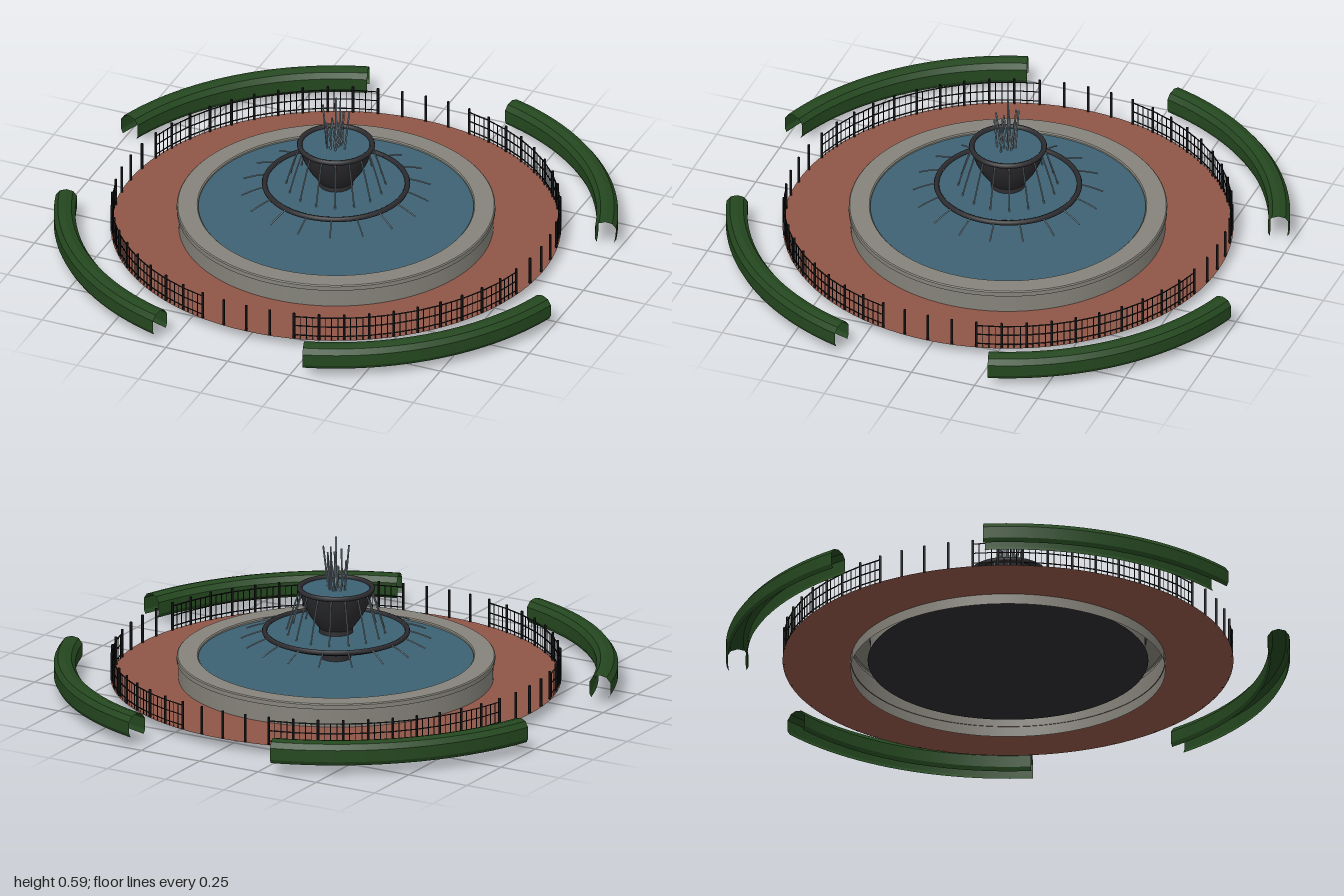
import * as THREE from 'three';
import { mergeGeometries } from 'three/addons/utils/BufferGeometryUtils.js';

const mat = (color) => new THREE.MeshStandardMaterial({ color, side: THREE.DoubleSide });
const rad = THREE.MathUtils.degToRad;
const polar = (r, a, y) => new THREE.Vector3(r * Math.sin(a), y, r * Math.cos(a));

export function createModel() {
  const model = new THREE.Group();
  const stone = mat(0x85837a), metal = mat(0x2c2c30), iron = mat(0x141416);
  const brick = mat(0x8f5547), leaf = mat(0x24471f), water = mat(0x3d6274), spray = mat(0x7f8f99);

  const add = (name, geometry, material, y = 0) => {
    const mesh = new THREE.Mesh(geometry, material);
    mesh.name = name;
    mesh.position.y = y;
    model.add(mesh);
    return mesh;
  };

  // Turned part; each profile step gets its own rings so edges stay crisp
  const turned = (points, segments = 64, start = 0, length = Math.PI * 2) => {
    const parts = [];
    for (let i = 0; i < points.length - 1; i++) {
      const pair = [points[i], points[i + 1]].map(([r, y]) => new THREE.Vector2(r, y));
      parts.push(new THREE.LatheGeometry(pair, segments, start, length));
    }
    return mergeGeometries(parts);
  };
  const smoothTurned = (points) =>
    new THREE.LatheGeometry(points.map(([r, y]) => new THREE.Vector2(r, y)), 48);
  const disc = (r) => new THREE.CircleGeometry(r, 64).rotateX(-Math.PI / 2);
  const hoop = (r, tube, segments = 64) =>
    new THREE.TorusGeometry(r, tube, 8, segments).rotateX(Math.PI / 2);

  // Thin straight rod between two points
  const rod = (a, b, r, sides = 5) => {
    const dir = b.clone().sub(a);
    const g = new THREE.CylinderGeometry(r, r, dir.length(), sides);
    g.applyQuaternion(new THREE.Quaternion().setFromUnitVectors(
      new THREE.Vector3(0, 1, 0), dir.normalize()));
    return g.translate((a.x + b.x) / 2, (a.y + b.y) / 2, (a.z + b.z) / 2);
  };
  // Falling stream that arcs outwards
  const stream = (a, r0, y0, r1, y1, lift) => new THREE.TubeGeometry(
    new THREE.QuadraticBezierCurve3(
      polar(r0, a, y0), polar((r0 + r1) / 2, a, (y0 + y1) / 2 + lift), polar(r1, a, y1)),
    6, 0.003, 5);

  // Paving
  add('paving', new THREE.RingGeometry(0.58, 0.835, 96).rotateX(-Math.PI / 2), brick, 0.04);

  // Basin with coping, floor and water
  add('basinWall', turned([[0.583, 0], [0.583, 0.11], [0.59, 0.11], [0.59, 0.127],
    [0.586, 0.131], [0.514, 0.131], [0.51, 0.127], [0.51, 0.04]], 80), stone);
  add('basinFloor', disc(0.52), metal, 0.04);
  add('basinWater', disc(0.512), water, 0.121);

  // Pedestal and lower bowl
  add('pedestal', smoothTurned([[0.075, 0.04], [0.06, 0.06], [0.055, 0.13], [0.058, 0.175]]), metal);
  add('lowerBowl', smoothTurned([[0.05, 0.165], [0.1, 0.175], [0.18, 0.19], [0.245, 0.205],
    [0.268, 0.22]]), metal);
  add('lowerRim', hoop(0.265, 0.01), metal, 0.224);
  add('lowerWater', disc(0.262), water, 0.222);

  // Stem and upper bowl
  add('stem', new THREE.CylinderGeometry(0.06, 0.065, 0.05, 32), metal, 0.235);
  add('upperBowl', smoothTurned([[0.055, 0.23], [0.075, 0.255], [0.1, 0.29], [0.12, 0.33],
    [0.132, 0.365], [0.137, 0.39]]), metal);
  add('upperRim', hoop(0.135, 0.01), metal, 0.39);
  add('upperWater', disc(0.132), water, 0.387);

  // Water streams over both rims
  const upperStreams = [], lowerStreams = [];
  for (let i = 0; i < 16; i++)
    upperStreams.push(stream(i * Math.PI / 8, 0.13, 0.392, 0.185, 0.22, 0.012));
  for (let i = 0; i < 18; i++)
    lowerStreams.push(stream(i * Math.PI / 9, 0.255, 0.228, 0.352, 0.195, 0.006));
  add('upperStreams', mergeGeometries(upperStreams), spray);
  add('lowerStreams', mergeGeometries(lowerStreams), spray);

  // Upright jets: one tall centre jet and two leaning rings
  const jets = [rod(polar(0, 0, 0.385), polar(0, 0, 0.59), 0.004)];
  for (let i = 0; i < 14; i++) {
    const a = i * 2.4;
    const r = 0.015 + 0.03 * ((i * 5) % 14) / 14;
    jets.push(rod(polar(r, a, 0.385), polar(r + 0.012, a + 0.3, 0.47 + 0.09 * ((i * 3) % 7) / 6), 0.0035));
  }
  add('jets', mergeGeometries(jets), spray);

  // Fence: posts all round, railed bays on the diagonals
  const R = 0.83, step = Math.PI * 2 / 56;
  const posts = [], railings = [];
  for (let i = 0; i < 56; i++) {
    const a = i * step;
    posts.push(rod(polar(R, a, 0.04), polar(R, a, 0.148), 0.005, 6));
    const inQuarter = i % 14;
    if (inQuarter < 2 || inQuarter >= 12) continue;
    for (const y of [0.055, 0.095, 0.133])
      railings.push(rod(polar(R, a, y), polar(R, a + step, y), 0.0025, 4));
    for (let k = 1; k < 4; k++) {
      const b = a + k * step / 4;
      railings.push(rod(polar(R, b, 0.04), polar(R, b, 0.135), 0.0018, 4));
    }
  }
  add('fencePosts', mergeGeometries(posts), iron);
  add('fenceRailings', mergeGeometries(railings), iron);

  // Four curved hedges, hollow shells open at the ends and below
  const hedge = turned([[1.037, 0.04], [1.045, 0.055], [1.045, 0.1], [1.03, 0.12], [1.005, 0.127],
    [0.98, 0.12], [0.965, 0.1], [0.965, 0.055], [0.972, 0.04]], 24, rad(16.8), rad(56.4));
  for (let i = 0; i < 4; i++) add('hedge', hedge, leaf).rotation.y = i * Math.PI / 2;

  return model;
}
